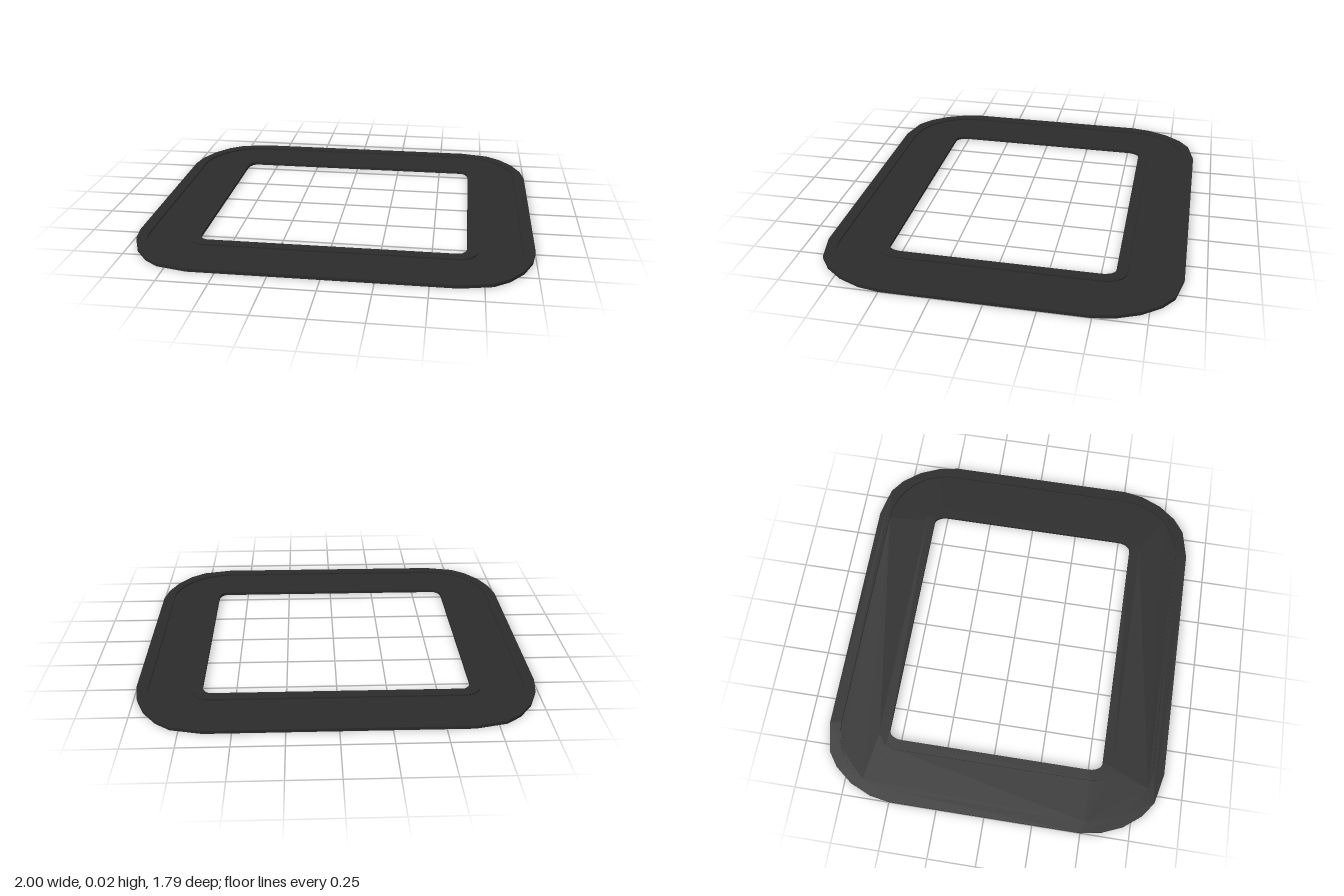
import * as THREE from 'three';

const HEIGHT = 0.016; // top of the raised lips
const FLOOR = 0.008;  // top of the recessed channel

// Mirrors one corner (listed from the +x side to the +y side) into a closed outline
function outline(corner) {
  const back = [...corner].reverse();
  return [
    ...corner.map(([x, y]) => [x, y]),
    ...back.map(([x, y]) => [-x, y]),
    ...corner.map(([x, y]) => [-x, -y]),
    ...back.map(([x, y]) => [x, -y]),
  ].map(([x, y]) => new THREE.Vector2(x, y));
}

// Elliptical corner of a rounded rectangle with half sizes w, d
function roundCorner(w, d, rx, ry, segments) {
  return Array.from({ length: segments + 1 }, (_, i) => {
    const a = (i / segments) * Math.PI / 2;
    return [w - rx + rx * Math.cos(a), d - ry + ry * Math.sin(a)];
  });
}

// Flat ring between two outlines, lying on y = 0
function ring(name, outer, inner, height, material) {
  const shape = new THREE.Shape(outer);
  shape.holes.push(new THREE.Path(inner));
  const geometry = new THREE.ExtrudeGeometry(shape, { depth: height, bevelEnabled: false });
  geometry.rotateX(-Math.PI / 2);
  const mesh = new THREE.Mesh(geometry, material);
  mesh.name = name;
  return mesh;
}

export function createModel() {
  const group = new THREE.Group();
  group.name = 'frame';
  const material = new THREE.MeshStandardMaterial({ color: 0x2b2b2b });

  // Outlines from the outer edge to the opening
  const outerEdge = outline([[1, 0.5], [0.982, 0.605], [0.935, 0.715], [0.865, 0.805], [0.79, 0.86], [0.635, 0.895]]);
  const channelOuter = outline(roundCorner(0.94, 0.835, 0.32, 0.32, 10));
  const channelInner = outline(roundCorner(0.725, 0.625, 0.09, 0.11, 8));
  const opening = outline(roundCorner(0.67, 0.57, 0.045, 0.07, 6));

  group.add(
    ring('outerLip', outerEdge, channelOuter, HEIGHT, material),
    ring('channelFloor', channelOuter, channelInner, FLOOR, material),
    ring('innerLip', channelInner, opening, HEIGHT, material),
  );
  return group;
}
